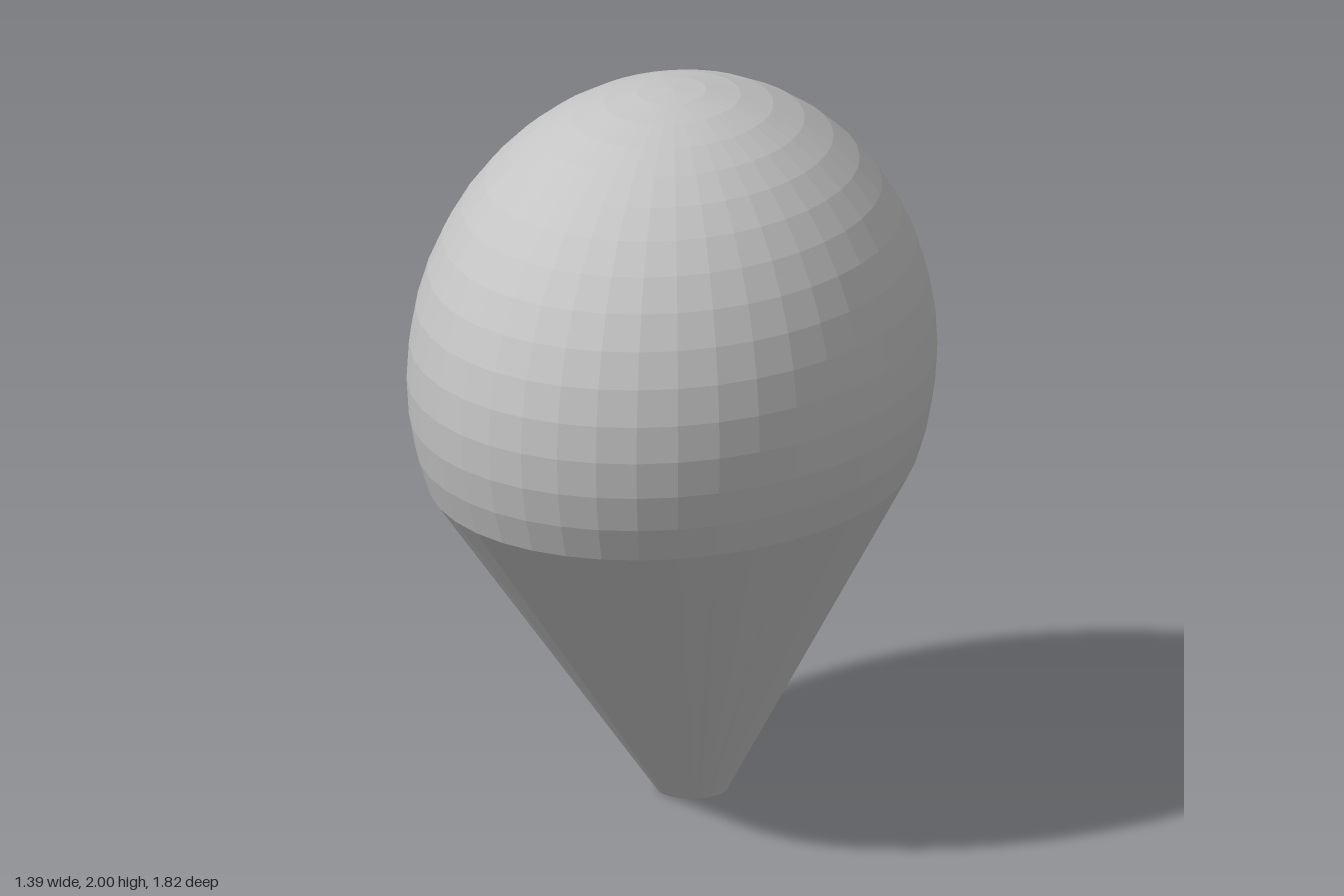
import * as THREE from 'three';

const SEGMENTS = 40;
const PHASE = Math.PI / SEGMENTS;
const CENTRE_Y = 1.23, RX = 0.695, RY = 0.77, RZ = 0.915;
const RIM = Math.PI / 8; // angle below the equator where the skirt begins

export function createModel() {
  const group = new THREE.Group();
  group.name = 'balloon';
  const envelopeGrey = new THREE.MeshStandardMaterial({ color: 0xc4c4c4 });
  envelopeGrey.name = 'envelopeGrey';
  envelopeGrey.flatShading = true;
  envelopeGrey.side = THREE.DoubleSide;

  const add = (name, geometry) => {
    const mesh = new THREE.Mesh(geometry, envelopeGrey);
    mesh.name = name;
    group.add(mesh);
  };

  // Rounded crown: an ellipsoid cut off below its equator
  const crown = new THREE.SphereGeometry(1, SEGMENTS, 15, PHASE, Math.PI * 2, 0, Math.PI / 2 + RIM);
  crown.scale(RX, RY, RZ);
  crown.translate(0, CENTRE_Y, 0);
  add('crown', crown);

  // Tapered skirt: an oval rim drawn down to a small, off-centre round mouth
  const skirt = new THREE.CylinderGeometry(1, 1, 1, SEGMENTS, 1, true, PHASE - Math.PI / 2);
  const p = skirt.attributes.position;
  const rimY = CENTRE_Y - RY * Math.sin(RIM), c = Math.cos(RIM);
  for (let i = 0; i < p.count; i++) {
    const x = p.getX(i), z = p.getZ(i);
    if (p.getY(i) > 0) p.setXYZ(i, x * RX * c, rimY, z * RZ * c);
    else p.setXYZ(i, 0.035 + x * 0.095, 0, -0.072 + z * 0.095);
  }
  skirt.computeVertexNormals();
  add('skirt', skirt);

  return group;
}
